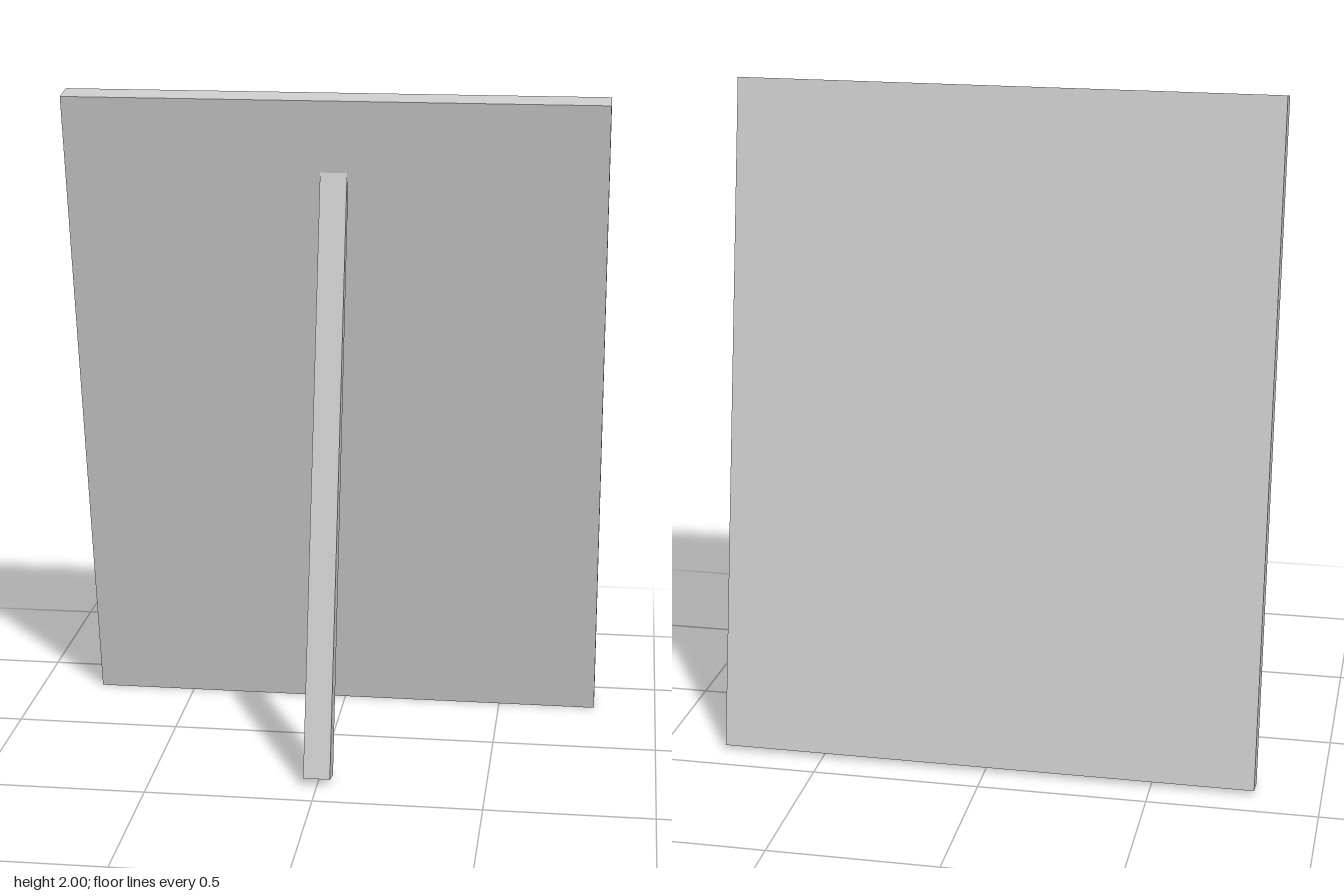
import * as THREE from 'three';

export function createModel() {
  const group = new THREE.Group();
  const material = new THREE.MeshStandardMaterial({ color: 0xcccccc, flatShading: true });

  // Leaning panel
  const panel = new THREE.Mesh(new THREE.BoxGeometry(1.61, 2.017, 0.08), material);
  panel.name = 'panel';
  panel.position.set(0, 1, -0.185);
  panel.rotation.x = THREE.MathUtils.degToRad(10);
  group.add(panel);

  // Tapered support leg: side profile in (z, y), its top buried in the panel
  const profile = new THREE.Shape([
    [0.4, 0.025], [-0.012, 1.785], [-0.031, 1.705], [0.325, 0.008],
  ].map(([z, y]) => new THREE.Vector2(z, y)));
  const legWidth = 0.08;
  const legGeometry = new THREE.ExtrudeGeometry(profile, { depth: legWidth, bevelEnabled: false });
  legGeometry.translate(0, 0, -legWidth / 2).rotateY(-Math.PI / 2);
  const leg = new THREE.Mesh(legGeometry, material);
  leg.name = 'supportLeg';
  group.add(leg);

  return group;
}
